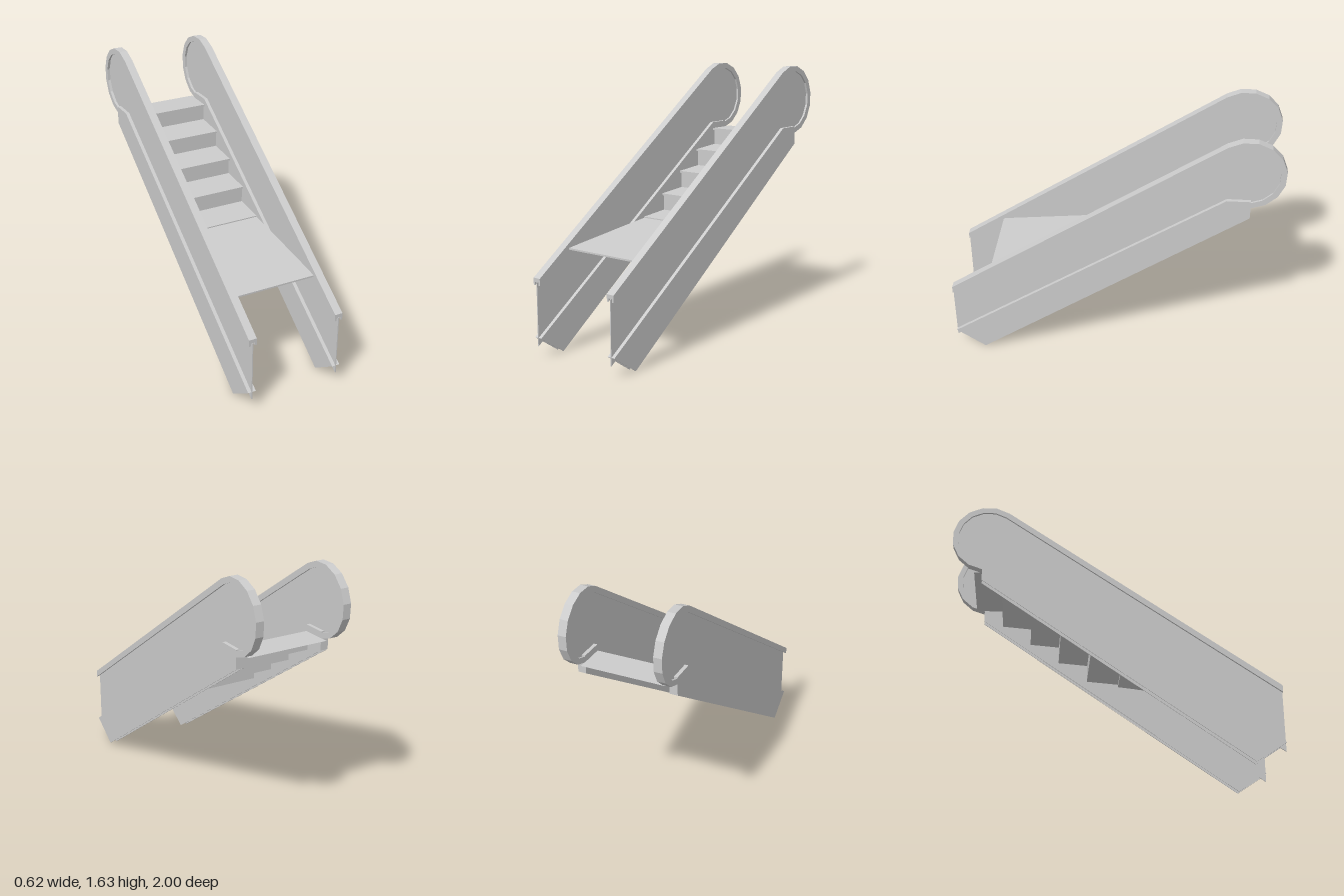
import * as THREE from 'three';

const material = new THREE.MeshStandardMaterial({ color: 0xcccccc, flatShading: true, side: THREE.DoubleSide });
const RAIL_X = 0.283, RAIL_W = 0.05, STEP_X = 0.26;
const CENTRE = [-0.78, 1.412], SLOPE = Math.atan(0.672);

function addMesh(parent, name, geometry) {
  const mesh = new THREE.Mesh(geometry, material);
  mesh.name = name;
  parent.add(mesh);
  return mesh;
}

// Side profile of [z, y] points, given a thickness centred on x
function plate(points, x, width) {
  const shape = new THREE.Shape(points.map(([z, y]) => new THREE.Vector2(z, y)));
  const geometry = new THREE.ExtrudeGeometry(shape, { depth: width, bevelEnabled: false });
  return geometry.rotateY(-Math.PI / 2).translate(x + width / 2, 0, 0);
}

// Folded sheet that follows [z, y] points across a width centred on x
function sheet(points, x, width) {
  const pos = [], index = [];
  points.forEach(([z, y], i) => {
    pos.push(x - width / 2, y, z, x + width / 2, y, z);
    if (i) {
      const a = 2 * i - 2;
      index.push(a, a + 1, a + 2, a + 1, a + 3, a + 2);
    }
  });
  const indexed = new THREE.BufferGeometry();
  indexed.setAttribute('position', new THREE.Float32BufferAttribute(pos, 3));
  indexed.setIndex(index);
  const geometry = indexed.toNonIndexed();
  geometry.computeVertexNormals();
  return geometry;
}

// Handrail curve: straight incline up from z = 1, then round the top end
function railCurve(radius) {
  const start = Math.PI / 2 - SLOPE, end = 1.46 * Math.PI, steps = 9;
  const points = [];
  for (let i = 0; i <= steps; i++) {
    const a = start + (end - start) * i / steps;
    points.push([CENTRE[0] + radius * Math.cos(a), CENTRE[1] + radius * Math.sin(a)]);
  }
  const [z, y] = points[0];
  points.unshift([1, y - (1 - z) * Math.tan(SLOPE)]);
  return points;
}

const band = (outer, inner) => [...railCurve(outer), ...railCurve(inner).reverse()];

function createBalustrade(x, name) {
  const group = new THREE.Group();
  group.name = name;

  // Handrail with a channel underneath
  addMesh(group, 'handrail', plate(band(0.222, 0.203), x, RAIL_W));
  for (const s of [-1, 1]) {
    addMesh(group, 'handrailLip', plate(band(0.203, 0.187), x + s * 0.019, 0.012));
  }

  // Thin upright panel
  const panel = [...railCurve(0.2), [-0.67, 1.2], [1, 0.075]];
  addMesh(group, 'sidePanel', plate(panel, x, 0.006));

  // Hollow skirt, open below and at the foot
  const ledge = [[1, 0.125], [-0.67, 1.235], [-0.81, 1.235], [-0.81, 1.12]];
  addMesh(group, 'skirtLedge', sheet(ledge, x, RAIL_W));
  for (const s of [-1, 1]) {
    addMesh(group, 'skirtWall', plate([...ledge, [0.82, 0.002]], x + s * 0.023, 0.004));
  }
  return group;
}

export function createModel() {
  const model = new THREE.Group();
  model.name = 'escalator';

  model.add(createBalustrade(RAIL_X, 'leftBalustrade'));
  model.add(createBalustrade(-RAIL_X, 'rightBalustrade'));

  // Landing and folded steps, each with a small overhanging nose
  const profile = [[-0.86, 1.195]];
  for (let i = 0; i < 5; i++) {
    const z = -0.67 + 0.184 * i, y = 1.195 - 0.1245 * i;
    profile.push([z, y], [z, y - 0.012]);
    if (i < 4) profile.push([z - 0.016, y - 0.012], [z - 0.016, y - 0.11]);
  }
  addMesh(model, 'steps', sheet(profile, 0, STEP_X * 2));

  // Sloping plate below the last step
  const ramp = [[0.066, 0.69], [0.066, 0.68], [0.755, 0.61], [0.755, 0.62]];
  addMesh(model, 'lowerPlate', plate(ramp, 0, STEP_X * 2));

  return model;
}
